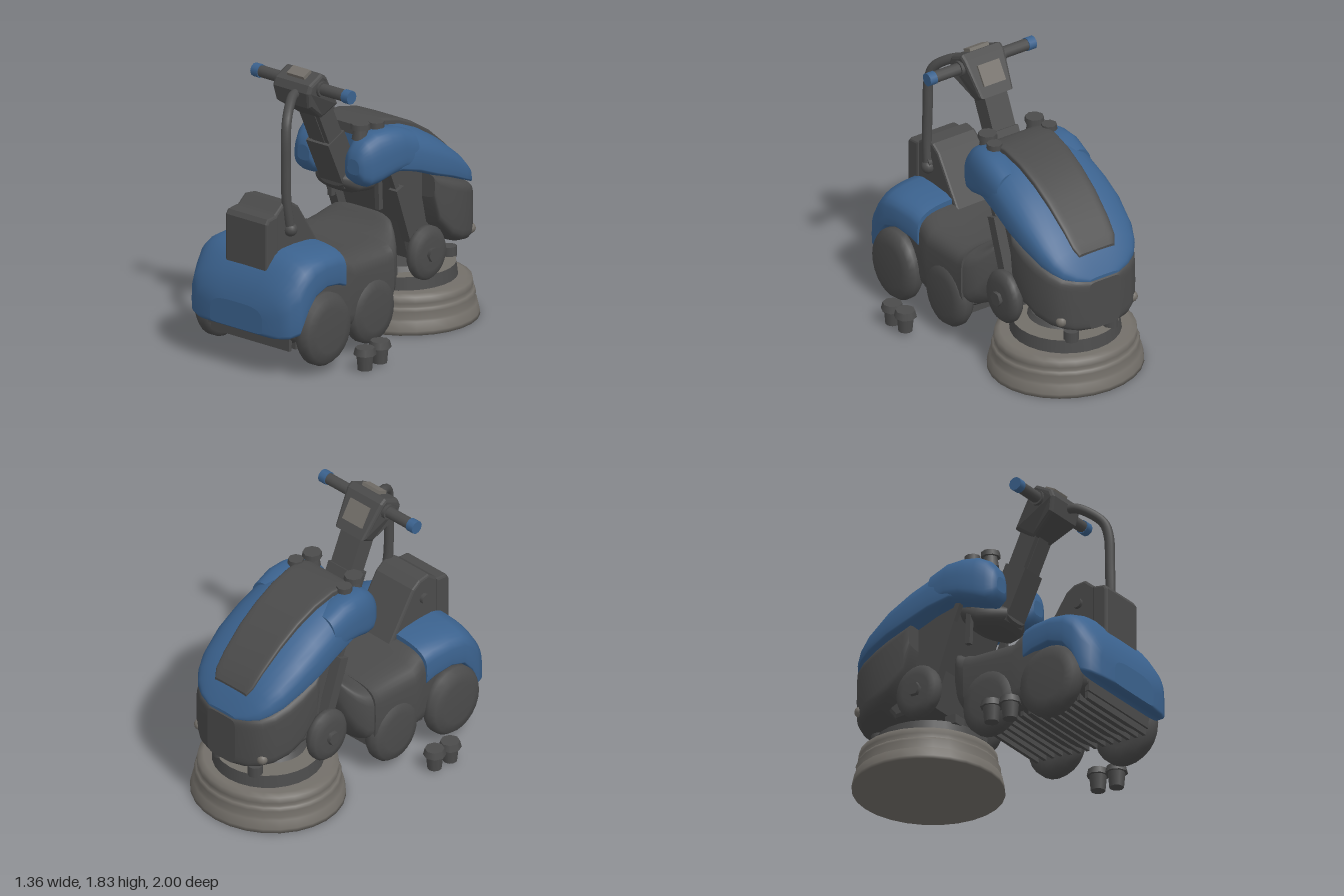
import * as THREE from 'three';

const mat = (name, color) => {
  const m = new THREE.MeshStandardMaterial({ color });
  m.name = name;
  return m;
};

export function createModel() {
  const root = new THREE.Group();
  root.name = 'floorScrubber';
  const dark = mat('charcoal plastic', 0x4b4b4b);
  const blue = mat('blue plastic', 0x3b628e);
  const grey = mat('warm grey', 0x736f69);

  const add = (name, geo, material, x = 0, y = 0, z = 0) => {
    const mesh = new THREE.Mesh(geo, material);
    mesh.name = name;
    mesh.position.set(x, y, z);
    root.add(mesh);
    return mesh;
  };

  // Skin over rings [z, halfWidth, yBottom, yTop, xCentre], listed from front to back
  const loft = (secs, nTop = 3, nBot = 3, mid = 0.5) => {
    const N = 36, pos = [], idx = [];
    const pw = (v, n) => Math.sign(v) * Math.abs(v) ** (2 / n);
    const ring = ([z, w, yb, yt, x0 = 0]) => {
      const ym = yb + (yt - yb) * mid;
      for (let j = 0; j < N; j++) {
        const a = (j / N) * Math.PI * 2, s = Math.sin(a), n = s >= 0 ? nTop : nBot;
        pos.push(x0 + w * pw(Math.cos(a), n), ym + (s >= 0 ? yt - ym : ym - yb) * pw(s, n), z);
      }
    };
    secs.forEach(ring);
    for (let i = 0; i < secs.length - 1; i++) for (let j = 0; j < N; j++) {
      const a = i * N + j, b = i * N + (j + 1) % N;
      idx.push(a, a + N, b, b, a + N, b + N);
    }
    // end caps
    [secs[0], secs[secs.length - 1]].forEach((s, e) => {
      const base = pos.length / 3;
      ring(s);
      pos.push(s[4] ?? 0, (s[2] + s[3]) / 2, s[0]);
      for (let j = 0; j < N; j++) {
        const a = base + j, b = base + (j + 1) % N;
        idx.push(base + N, e ? b : a, e ? a : b);
      }
    });
    const g = new THREE.BufferGeometry();
    g.setAttribute('position', new THREE.Float32BufferAttribute(pos, 3));
    g.setIndex(idx);
    g.computeVertexNormals();
    return g;
  };

  // Side outline [z, y] extruded across x
  const slab = (pts, width, bevel = 0.015) => {
    const g = new THREE.ExtrudeGeometry(new THREE.Shape(pts.map(p => new THREE.Vector2(...p))), {
      depth: width - 2 * bevel, bevelSize: bevel, bevelThickness: bevel, bevelOffset: -bevel, bevelSegments: 2,
    });
    return g.translate(0, 0, bevel - width / 2).rotateY(-Math.PI / 2);
  };

  // Box between two [z, y] points
  const beam = (name, p, q, wx, wd, material, x = 0) => {
    const dz = q[0] - p[0], dy = q[1] - p[1];
    const m = add(name, new THREE.BoxGeometry(wx, Math.hypot(dz, dy), wd), material, x, (p[1] + q[1]) / 2, (p[0] + q[0]) / 2);
    m.rotation.x = Math.atan2(dz, dy);
  };

  const lathe = (pts, seg = 28) => new THREE.LatheGeometry(pts.map(p => new THREE.Vector2(...p)), seg);
  const wheel = (r, h) => lathe([[0, -h], [r * 0.6, -h], [r * 0.88, -h * 0.8], [r, -h * 0.3], [r, h * 0.3],
    [r * 0.88, h * 0.8], [r * 0.6, h], [0, h]], 24).rotateZ(Math.PI / 2);

  // Drive unit
  add('chassis', loft([[0.88, 0.36, 0.22, 0.5], [0.84, 0.38, 0.19, 0.6], [0.6, 0.4, 0.18, 0.72], [0.42, 0.425, 0.18, 0.73],
    [0.36, 0.425, 0.18, 0.68], [0.05, 0.42, 0.22, 0.675], [0, 0.42, 0.26, 0.685]], 5, 5), dark);
  add('rearApron', loft([[0.02, 0.415, 0.25, 0.68], [-0.04, 0.4, 0.27, 0.695], [-0.09, 0.36, 0.34, 0.72],
    [-0.13, 0.31, 0.44, 0.755], [-0.16, 0.26, 0.56, 0.78], [-0.172, 0.2, 0.68, 0.78]], 4, 4), dark);
  add('frontCowl', loft([[1.0, 0.22, 0.28, 0.45], [0.985, 0.35, 0.27, 0.52], [0.95, 0.42, 0.27, 0.61], [0.89, 0.45, 0.28, 0.7],
    [0.83, 0.46, 0.42, 0.76], [0.76, 0.46, 0.51, 0.78], [0.65, 0.455, 0.55, 0.785], [0.52, 0.44, 0.53, 0.78],
    [0.45, 0.43, 0.5, 0.765]], 3.6, 8, 0.3), blue);
  for (let i = 0; i < 14; i++)
    add('undersideSlat', new THREE.BoxGeometry(0.66, 0.05, 0.022), dark, 0, 0.19, 0.08 + i * 0.06);
  add('frontLowerSlat', new THREE.BoxGeometry(0.68, 0.06, 0.03), dark, 0, 0.24, 0.87);

  // Battery box on the cowl
  add('batteryBox', slab([[0.86, 0.65], [0.86, 0.98], [0.8, 1.02], [0.74, 1.07], [0.66, 1.06], [0.6, 1.02], [0.39, 0.7], [0.4, 0.65]], 0.33), dark);
  add('batteryFront', slab([[0.91, 0.65], [0.91, 0.97], [0.89, 1.0], [0.8, 1.01], [0.8, 0.65]], 0.35), dark);
  add('batteryLatch', new THREE.CylinderGeometry(0.035, 0.035, 0.38, 12).rotateZ(Math.PI / 2), dark, 0, 0.92, 0.69);

  for (const s of [-1, 1]) {
    // Drive wheels
    add('frontWheel', wheel(0.222, 0.07), dark, s * 0.425, 0.29, 0.665).scale.y = 1.07;
    add('rearWheel', wheel(0.2, 0.07), dark, s * 0.37, 0.285, 0.185).scale.y = 1.1;

    // Stabiliser wheels and struts
    add('sideWheel', wheel(0.16, 0.05), dark, s * 0.35, 0.51, -0.37).scale.y = 1.1;
    add('sideWheelHub', new THREE.CylinderGeometry(0.045, 0.05, 0.04, 6).rotateZ(Math.PI / 2), dark, s * 0.405, 0.51, -0.37);
    beam('strutUpper', [-0.11, 1.12], [-0.2, 0.9], 0.04, 0.035, dark, s * 0.27);
    beam('strutSleeve', [-0.17, 0.97], [-0.3, 0.6], 0.07, 0.07, dark, s * 0.28);
    beam('strutRod', [-0.09, 1.08], [-0.1, 0.83], 0.035, 0.035, dark, s * 0.2);

    // Blue arms either side of the steering column
    add('hoodArm', loft([[0.15, 0.05, 1.12, 1.22, s * 0.21], [0.135, 0.085, 1.07, 1.28, s * 0.212], [0.09, 0.105, 1.035, 1.335, s * 0.218],
      [0.02, 0.118, 1.045, 1.37, s * 0.228], [-0.08, 0.125, 1.075, 1.38, s * 0.238], [-0.18, 0.125, 1.09, 1.37, s * 0.245],
      [-0.3, 0.12, 1.06, 1.32, s * 0.245]], 2.6, 3, 0.35), blue);

    // Knobs on the arms
    for (const [x, y, z, r] of [[0.18, 1.37, 0.05, 0.055], [0.21, 1.36, -0.065, 0.045]]) {
      add('armKnobStem', new THREE.CylinderGeometry(r * 0.8, r, 0.07, 8), dark, s * x, y - 0.01, z);
      add('armKnobCap', new THREE.CylinderGeometry(r * 1.1, r * 1.15, 0.035, 8), dark, s * x, y + 0.04, z);
    }

    // Handlebar
    add('handlebar', new THREE.CylinderGeometry(0.038, 0.038, 0.24, 12).rotateZ(Math.PI / 2), dark, s * 0.25, 1.73, 0.38);
    add('handlebarCollar', new THREE.CylinderGeometry(0.05, 0.05, 0.03, 12).rotateZ(Math.PI / 2), dark, s * 0.155, 1.73, 0.38);
    add('handlebarTip', new THREE.CylinderGeometry(0.044, 0.044, 0.055, 10).rotateZ(Math.PI / 2), blue, s * 0.38, 1.73, 0.38);

    // Loose floor knobs
    for (const [z, y] of [[0.335, 0.17], [0.473, 0.158]]) {
      add('floorKnobCap', new THREE.CylinderGeometry(0.062, 0.073, 0.045, 8), dark, s * 0.605, y - 0.022, z);
      add('floorKnobStem', new THREE.CylinderGeometry(0.056, 0.046, 0.11, 10), dark, s * 0.605, y - 0.09, z);
    }

    // Deck fittings
    add('deckKnob', new THREE.CylinderGeometry(0.05, 0.05, 0.07, 10), dark, s * 0.15, 0.365, -0.8);
    add('deckBracket', new THREE.BoxGeometry(0.1, 0.06, 0.08), dark, s * 0.13, 0.36, -0.25);
    add('bumperBadge', new THREE.SphereGeometry(0.036, 10, 8), grey, s * 0.272, 0.53, -0.862);
  }

  // Steering column, console and hose
  beam('columnBase', [0.03, 1.02], [0.18, 1.34], 0.19, 0.16, dark);
  beam('column', [0.08, 1.13], [0.295, 1.6], 0.17, 0.125, dark);
  beam('columnRib', [0.18, 1.25], [0.31, 1.53], 0.1, 0.05, dark);
  const consoleGeo = slab([[0.5, 1.72], [0.48, 1.77], [0.37, 1.825], [0.33, 1.8], [0.19, 1.58], [0.31, 1.5], [0.48, 1.62]], 0.31, 0.02);
  const cp = consoleGeo.attributes.position;
  for (let i = 0; i < cp.count; i++) cp.setX(i, cp.getX(i) * Math.min(1, 0.55 + (cp.getY(i) - 1.5) * 3));
  consoleGeo.computeVertexNormals();
  add('console', consoleGeo, dark);
  beam('consoleScreen', [0.222, 1.643], [0.297, 1.76], 0.165, 0.015, grey);
  beam('consoleButton', [0.385, 1.825], [0.45, 1.793], 0.145, 0.03, grey);
  const hosePath = new THREE.CatmullRomCurve3([[0.03, 1.7, 0.46], [0.05, 1.7, 0.53], [0.1, 1.655, 0.62], [0.14, 1.59, 0.685],
    [0.155, 1.5, 0.71], [0.16, 1.3, 0.715], [0.165, 1.08, 0.715], [0.175, 0.88, 0.69]].map(p => new THREE.Vector3(...p)));
  add('hose', new THREE.TubeGeometry(hosePath, 40, 0.032, 12), dark);
  add('hoseSocket', new THREE.SphereGeometry(0.045, 12, 10), dark, 0.175, 0.89, 0.69);

  // Scrubber hood with lid and bumper
  add('hood', loft([[-0.08, 0.34, 1.085, 1.38], [-0.15, 0.36, 1.09, 1.39], [-0.3, 0.375, 1.05, 1.355], [-0.45, 0.383, 0.99, 1.29],
    [-0.6, 0.378, 0.94, 1.2], [-0.75, 0.352, 0.88, 1.08], [-0.83, 0.315, 0.85, 0.995], [-0.88, 0.27, 0.825, 0.925],
    [-0.92, 0.2, 0.81, 0.86], [-0.945, 0.11, 0.795, 0.815]], 2.6, 7, 0.25), blue);
  add('lid', loft([[0.01, 0.2, 1.32, 1.385], [-0.04, 0.2, 1.3, 1.405], [-0.15, 0.195, 1.3, 1.41], [-0.3, 0.19, 1.27, 1.375],
    [-0.45, 0.185, 1.2, 1.31], [-0.6, 0.18, 1.1, 1.218], [-0.75, 0.17, 0.98, 1.095], [-0.83, 0.16, 0.92, 1.01],
    [-0.865, 0.135, 0.89, 0.96]], 9, 9), dark);
  add('bumper', loft([[-0.44, 0.36, 0.84, 1.0], [-0.48, 0.375, 0.66, 0.985], [-0.6, 0.378, 0.53, 0.94], [-0.7, 0.365, 0.48, 0.9],
    [-0.8, 0.335, 0.46, 0.86], [-0.87, 0.29, 0.455, 0.83], [-0.92, 0.22, 0.45, 0.81], [-0.95, 0.12, 0.455, 0.785]], 8, 6), dark);
  add('hoodBelly', loft([[0.12, 0.1, 1.0, 1.08], [0.06, 0.19, 0.95, 1.1], [-0.04, 0.22, 0.94, 1.12], [-0.13, 0.22, 0.98, 1.15],
    [-0.22, 0.2, 1.03, 1.18]], 2.5, 2.5), dark);
  add('innerTank', slab([[-0.13, 1.12], [-0.19, 0.95], [-0.28, 0.7], [-0.34, 0.45], [-0.62, 0.43], [-0.75, 0.6], [-0.7, 1.08], [-0.35, 1.2]], 0.5, 0.03), dark);

  // Brush deck
  add('brushDeck', lathe([[0, 0.005], [0.47, 0.005], [0.468, 0.03], [0.455, 0.09], [0.437, 0.1], [0.445, 0.15], [0.435, 0.17],
    [0.42, 0.175], [0.43, 0.2], [0.425, 0.24], [0.39, 0.255], [0, 0.26]]), grey, 0, 0, -0.53).scale.x = 1.07;
  add('deckTop', new THREE.CylinderGeometry(0.34, 0.352, 0.09, 28), [dark, grey, dark], 0, 0.295, -0.53);
  add('deckHub', new THREE.CylinderGeometry(0.2, 0.23, 0.04, 24), dark, 0, 0.35, -0.5);
  add('driveShaft', new THREE.CylinderGeometry(0.045, 0.045, 0.22, 14), dark, 0, 0.42, -0.66);
  add('shaftFlange', new THREE.CylinderGeometry(0.065, 0.065, 0.03, 14), dark, 0, 0.39, -0.66);

  return root;
}
